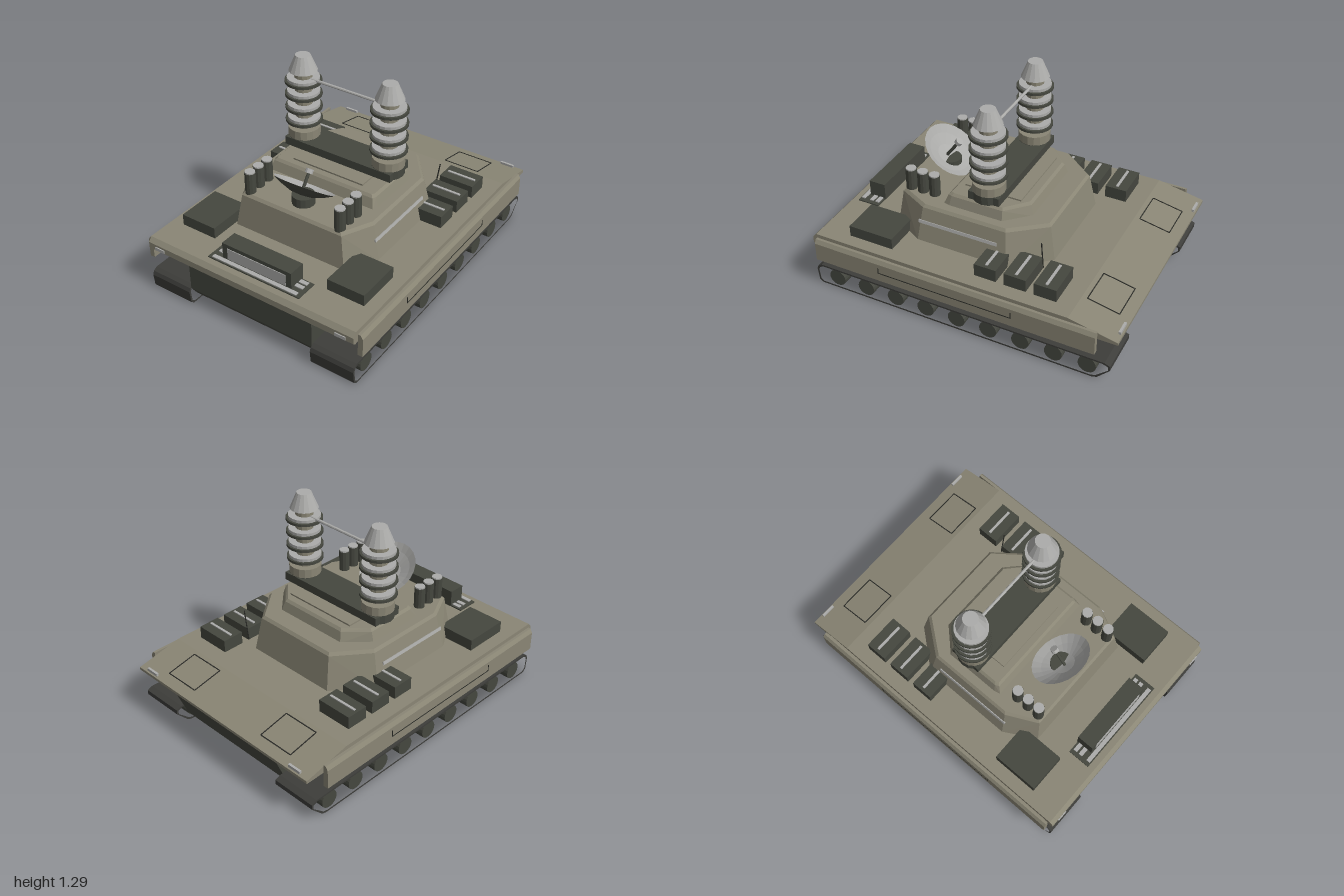
import * as THREE from 'three';
import { ConvexGeometry } from 'three/addons/geometries/ConvexGeometry.js';

const flat = (name, color) => new THREE.MeshStandardMaterial({ name, color, flatShading: true });

export function createModel() {
  const tan = flat('armourTan', 0x8a8675);
  const dark = flat('darkGreen', 0x45473f);
  const tread = flat('treadGrey', 0x3d3d3a);
  const light = flat('lightGrey', 0xacacaa);
  const black = flat('panelLine', 0x2a2b27);

  const model = new THREE.Group();
  const add = (name, geo, mat, x = 0, y = 0, z = 0, parent = model) => {
    const m = new THREE.Mesh(geo, mat);
    m.name = name;
    m.position.set(x, y, z);
    parent.add(m);
    return m;
  };
  // Box given by its min and max corners
  const box = (name, mat, x0, x1, y0, y1, z0, z1, parent = model) =>
    add(name, new THREE.BoxGeometry(x1 - x0, y1 - y0, z1 - z0), mat,
      (x0 + x1) / 2, (y0 + y1) / 2, (z0 + z1) / 2, parent);
  // Same box on one side of the model (s = 1 left, -1 right)
  const sideBox = (name, mat, s, x0, x1, y0, y1, z0, z1) =>
    box(name, mat, s > 0 ? x0 : -x1, s > 0 ? x1 : -x0, y0, y1, z0, z1);
  const cyl = (name, mat, rTop, rBottom, y0, y1, x, z, sides = 16, parent = model) =>
    add(name, new THREE.CylinderGeometry(rTop, rBottom, y1 - y0, sides), mat, x, (y0 + y1) / 2, z, parent);
  // Side profile of [z, y] points extruded across x
  const profile = (pts, x0, x1, hole) => {
    const toV = ([z, y]) => new THREE.Vector2(-z, y);
    const shape = new THREE.Shape(pts.map(toV));
    if (hole) shape.holes.push(new THREE.Path(hole.map(toV)));
    const g = new THREE.ExtrudeGeometry(shape, { depth: x1 - x0, bevelEnabled: false });
    return g.rotateY(Math.PI / 2).translate(x0, 0, 0);
  };
  // Tapered block from mirrored half outlines of [x, z] points at given heights
  const tapered = (levels) => new ConvexGeometry(levels.flatMap(([y, pts]) =>
    pts.flatMap(([x, z]) => [new THREE.Vector3(x, y, z), new THREE.Vector3(-x, y, z)])));

  // Hull and deck
  add('lowerHull', profile([[0.97, 0.6], [0.97, 0.42], [0.93, 0.36], [-0.88, 0.36], [-0.98, 0.6]], -0.44, 0.44), dark);
  add('deck', profile([[0.975, 0.597], [0.99, 0.61], [0.99, 0.65], [0.965, 0.677], [-0.7, 0.677],
    [-1, 0.615], [-1, 0.597]], -0.73, 0.73), tan);

  // Tracks, wheels and skirts
  const loop = [[0.96, 0.3], [0.982, 0.32], [0.99, 0.4], [0.98, 0.425], [0.955, 0.44], [-0.93, 0.435],
    [-0.965, 0.42], [-0.965, 0.39], [-0.89, 0.31], [-0.86, 0.3]];
  const inner = loop.map(([z, y]) => [z * 0.988, 0.37 + (y - 0.37) * 0.84]);
  for (const s of [1, -1]) {
    add('track', profile(loop, s > 0 ? 0.44 : -0.73, s > 0 ? 0.73 : -0.44, inner), tread);
    for (let i = 0; i < 9; i++) {
      const wheel = add('roadWheel', new THREE.CylinderGeometry(0.056, 0.056, 0.27, 18), dark,
        s * 0.585, 0.367, 0.85 - i * 0.209);
      wheel.rotation.z = Math.PI / 2;
    }
    const section = [[0.735, 0.51], [0.767, 0.51], [0.767, 0.632], [0.752, 0.657], [0.735, 0.657]];
    add('sideSkirt', new ConvexGeometry(section.flatMap(([x, y]) =>
      [0.955, -0.88].map((z) => new THREE.Vector3(s * x, y, z)))), tan);
    sideBox('skirtMount', tan, s, 0.725, 0.74, 0.61, 0.64, -0.85, 0.93);
    sideBox('skirtLine', black, s, 0.766, 0.769, 0.566, 0.571, -0.37, 0.51);
    for (const z of [-0.37, 0.505]) sideBox('skirtLine', black, s, 0.766, 0.769, 0.566, 0.61, z, z + 0.005);

    // Deck fittings
    sideBox('frontLocker', dark, s, 0.405, 0.65, 0.67, 0.75, 0.475, 0.77);
    sideBox('headlight', light, s, 0.61, 0.68, 0.615, 0.636, 0.985, 0.996);
    sideBox('tailLight', light, s, 0.575, 0.665, 0.605, 0.635, -0.99, -0.975);
    for (const z of [-0.52, -0.33, -0.14]) {
      sideBox('ventBox', dark, s, 0.41, 0.64, 0.67, 0.758, z - 0.07, z + 0.07);
      sideBox('ventBar', light, s, 0.43, 0.62, 0.756, 0.764, z - 0.008, z + 0.008);
    }

    // Rear hatch outlines
    const hatch = new THREE.Group();
    hatch.name = 'rearHatchOutline';
    hatch.position.set(s * 0.41, 0.653, -0.83);
    hatch.rotation.x = -0.204;
    for (const e of [-1, 1]) {
      box('hatchLine', black, -0.12, 0.12, 0, 0.003, e * 0.1 - 0.003, e * 0.1 + 0.003, hatch);
      box('hatchLine', black, e * 0.12 - 0.003, e * 0.12 + 0.003, 0, 0.003, -0.1, 0.1, hatch);
    }
    model.add(hatch);
  }

  // Front lamp and its grille
  box('grilleBase', dark, -0.325, 0.325, 0.67, 0.684, 0.78, 0.925);
  for (const z of [0.805, 0.845, 0.905])
    box('grilleBar', light, -0.3, 0.3, 0.68, 0.69, z - 0.013, z + 0.013);
  box('lampHousing', dark, -0.245, 0.245, 0.68, 0.79, 0.775, 0.885);
  box('lampLens', light, -0.207, 0.207, 0.69, 0.765, 0.88, 0.889);

  // Turret tiers
  add('turret', tapered([
    [0.67, [[0.39, 0.585], [0.5, 0.39], [0.5, -0.2], [0.31, -0.43]]],
    [0.89, [[0.355, 0.56], [0.45, 0.37], [0.45, -0.18], [0.285, -0.39]]],
    [0.907, [[0.345, 0.545], [0.435, 0.36], [0.435, -0.17], [0.275, -0.375]]],
  ]), tan);
  add('turretTop', tapered([
    [0.9, [[0.375, 0.27], [0.385, 0.23], [0.385, -0.12], [0.25, -0.26]]],
    [0.965, [[0.355, 0.245], [0.365, 0.22], [0.365, -0.115], [0.235, -0.24]]],
    [0.98, [[0.34, 0.23], [0.35, 0.21], [0.35, -0.11], [0.225, -0.225]]],
  ]), tan);
  box('roofPlate', tan, -0.25, 0.25, 0.975, 0.99, -0.18, 0.19);
  for (const s of [1, -1]) {
    const strip = box('turretSideStrip', light, s * 0.472 - 0.004, s * 0.472 + 0.004, 0.79, 0.81, -0.13, 0.39);
    strip.rotation.z = s * 0.223;
  }
  const antenna = cyl('antenna', black, 0.004, 0.004, 0.68, 0.88, 0.42, -0.4, 6);
  antenna.rotation.z = -0.15;

  // Twin coils on a crossbeam
  box('beamFoot', dark, -0.2, 0.2, 0.985, 1.01, -0.07, 0.07);
  box('crossbeam', dark, -0.38, 0.38, 1, 1.053, -0.1, 0.1);
  for (const s of [1, -1]) {
    const x = s * 0.305;
    cyl('coilSeat', dark, 0.1, 0.1, 1, 1.055, x, 0);
    cyl('coilBase', tan, 0.1, 0.1, 1.055, 1.112, x, 0);
    cyl('coilColumn', tan, 0.056, 0.056, 1.11, 1.495, x, 0, 12);
    for (let i = 0; i < 4; i++) {
      const y = 1.152 + i * 0.088;
      cyl('coilDarkDisc', dark, 0.114, 0.114, y, y + 0.016, x, 0, 20);
      cyl('coilLightDisc', light, 0.1, 0.1, y + 0.016, y + 0.034, x, 0, 20);
    }
    cyl('coilCap', light, 0.046, 0.088, 1.492, 1.593, x, 0);

    // Launch tubes
    for (const z of [0.36, 0.44, 0.52]) {
      cyl('launchTube', dark, 0.034, 0.034, 0.9, 1.042, s * 0.32, z, 12);
      cyl('launchTubeCap', light, 0.032, 0.032, 1.042, 1.05, s * 0.32, z, 12);
    }
  }
  const rod = cyl('coilRod', light, 0.009, 0.009, -0.27, 0.27, 0, 0, 8);
  rod.rotation.z = Math.PI / 2;
  rod.position.set(0, 1.447, 0);

  // Dish tilted up and to the rear
  cyl('dishPedestal', dark, 0.07, 0.07, 0.9, 0.965, 0, 0.43);
  const dish = new THREE.Group();
  dish.name = 'dish';
  dish.position.set(0, 1.018, 0.42);
  dish.rotation.x = -0.63;
  model.add(dish);
  const bowl = [[0, -0.06], [0.07, -0.052], [0.14, -0.026], [0.19, 0]].map(([r, y]) => new THREE.Vector2(r, y));
  add('dishBack', new THREE.LatheGeometry(bowl, 24), dark, 0, 0, 0, dish);
  add('dishFace', new THREE.LatheGeometry(bowl.slice().reverse(), 24), light, 0, 0.004, 0, dish);
  cyl('dishFeed', dark, 0.01, 0.01, -0.055, 0.08, 0, 0, 8, dish);
  cyl('dishFeedTip', light, 0.024, 0.024, 0.075, 0.1, 0, 0, 10, dish);

  return model;
}
